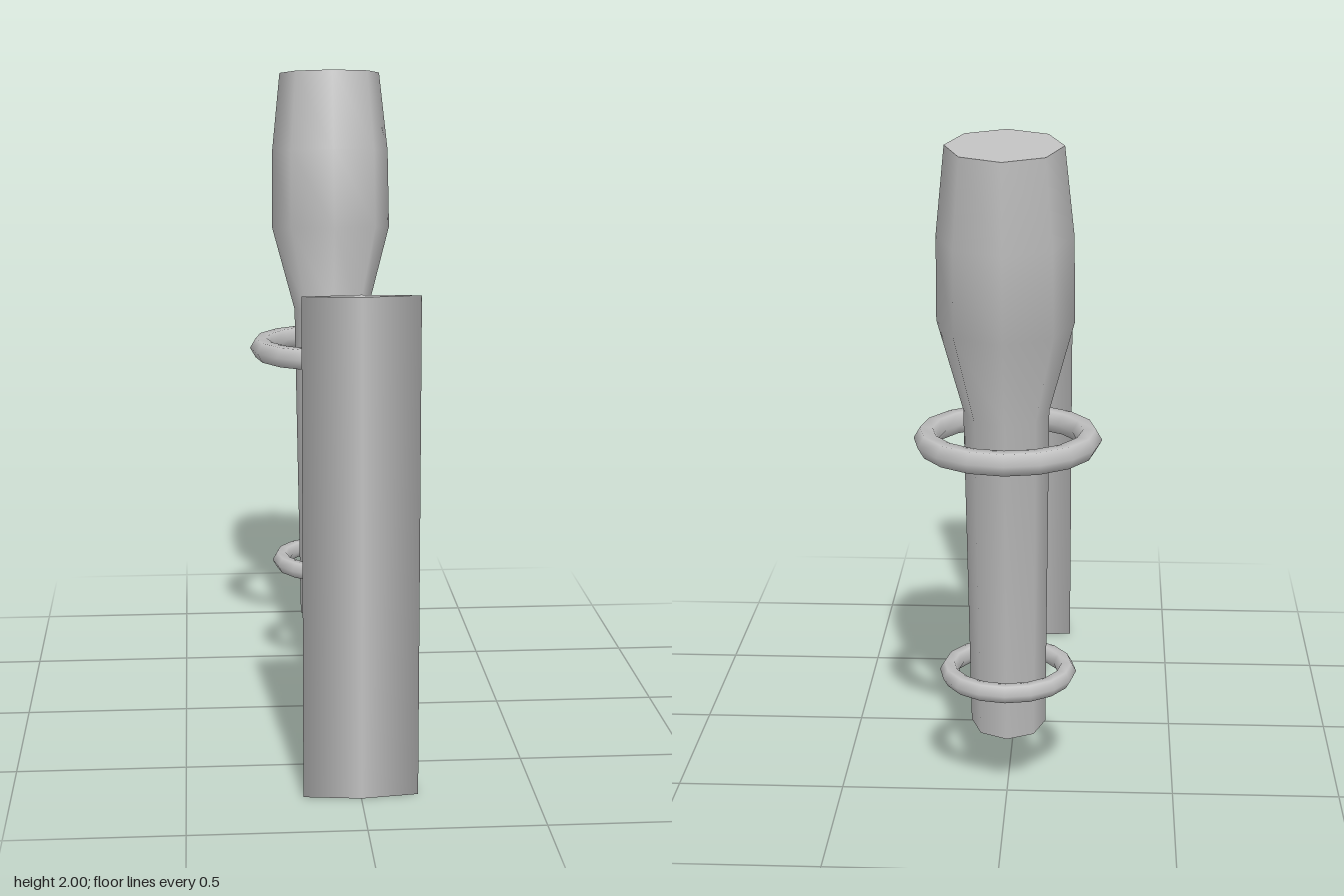
import * as THREE from 'three';

const grey = new THREE.MeshStandardMaterial({ color: 0xc0c0c0 });
grey.name = 'plain grey';

function add(parent, name, geometry) {
  const mesh = new THREE.Mesh(geometry, grey);
  mesh.name = name;
  parent.add(mesh);
  return mesh;
}

// Bar swept along [z, y] points in the middle plane, with half width w and half thickness h.
function bar(path, sides, w, h) {
  const n = path.length - 1;
  const pts = path.map(([z, y]) => new THREE.Vector3(0, y, z));
  const geo = new THREE.CylinderGeometry(1, 1, 1, sides, n, false, Math.PI);
  const pos = geo.attributes.position;
  for (let k = 0; k < pos.count; k++) {
    const i = Math.round((pos.getY(k) + 0.5) * n);
    const dir = pts[Math.min(i + 1, n)].clone().sub(pts[Math.max(i - 1, 0)]).normalize();
    const t = pos.getZ(k) * h;
    pos.setXYZ(k, pos.getX(k) * w, pts[i].y - dir.z * t, pts[i].z + dir.y * t);
  }
  geo.computeVertexNormals();
  return geo;
}

export function createModel() {
  const model = new THREE.Group();
  model.name = 'wallTorch';

  // Flat diamond-section wall plate
  const plate = add(model, 'wallPlate', new THREE.CylinderGeometry(1, 1, 1.45, 4, 1, false, Math.PI));
  plate.scale.set(0.165, 1, 0.0225);
  plate.position.set(0, 0.725, 0.7525);

  // Support arms
  add(model, 'upperArm', bar([[0.74, 0.665], [0.355, 0.787], [-0.01, 0.965], [-0.195, 1.09]], 4, 0.06, 0.029));
  add(model, 'lowerArm', bar([[0.74, 0.127], [-0.245, 0.365]], 6, 0.03, 0.029));

  // Holding rings
  for (const [name, y, radius, tube] of [['upperRing', 1.092, 0.238, 0.037], ['lowerRing', 0.365, 0.176, 0.029]]) {
    const ring = add(model, name, new THREE.TorusGeometry(radius, tube, 6, 16));
    ring.rotation.x = Math.PI / 2;
    ring.position.set(0, y, -0.43);
  }

  // Tilted eight-sided torch: handle, flared head and end caps
  const torch = new THREE.Group();
  torch.name = 'torch';
  torch.position.set(0, 0.187, -0.4);
  torch.rotation.x = -0.117;
  model.add(torch);
  const profile = [[0.112, 0], [0.123, 1.025], [0.195, 1.297], [0.192, 1.549], [0.165, 1.805]];
  add(torch, 'torchBody', new THREE.LatheGeometry(profile.map(([r, y]) => new THREE.Vector2(r, y)), 8));
  const top = add(torch, 'torchTop', new THREE.CircleGeometry(0.165, 8));
  top.rotation.x = -Math.PI / 2;
  top.position.y = 1.805;
  const bottom = add(torch, 'torchBottom', new THREE.CircleGeometry(0.112, 8));
  bottom.rotation.x = Math.PI / 2;

  return model;
}
